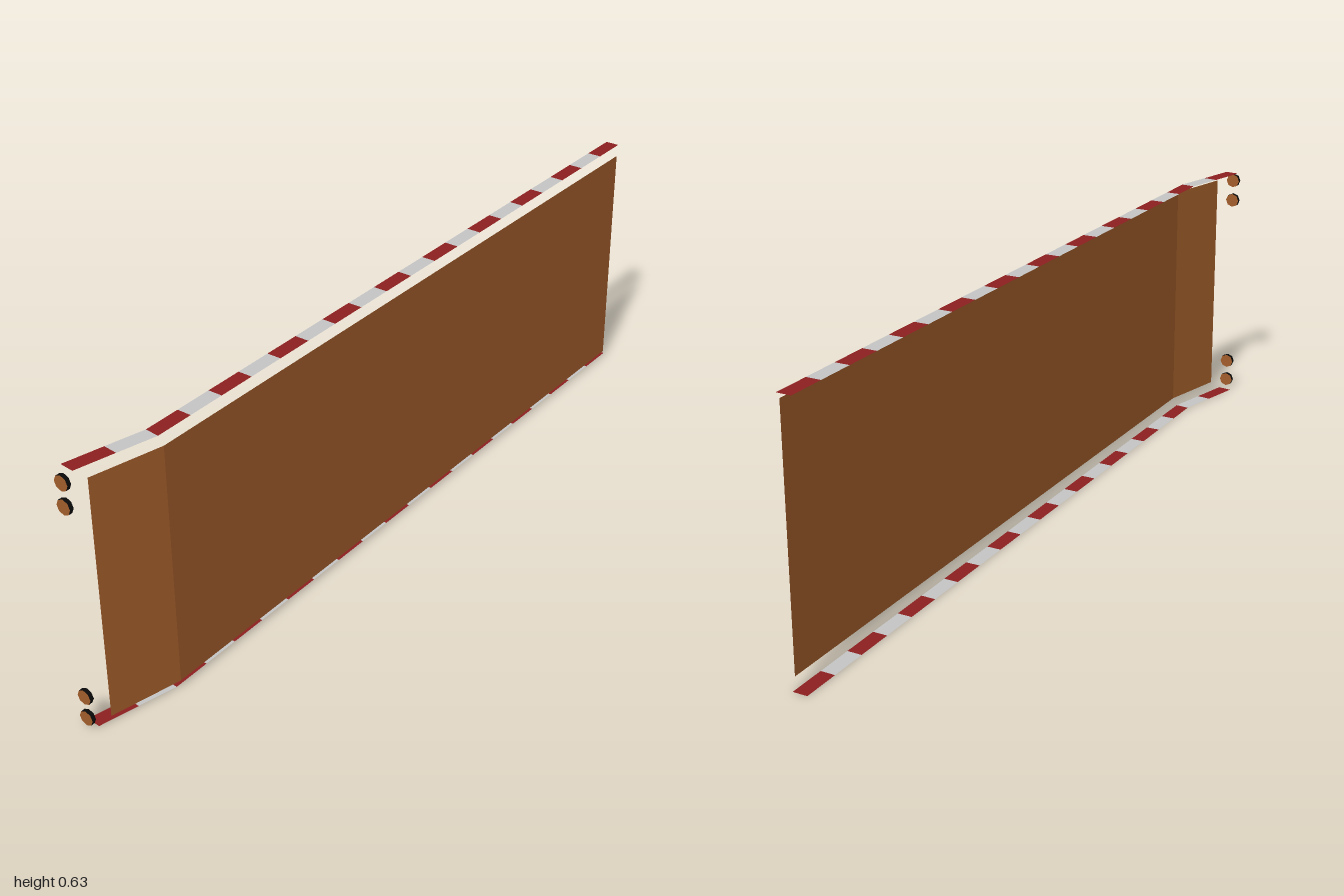
import * as THREE from 'three';

const material = (name, color, doubleSided = true) => {
  const m = new THREE.MeshStandardMaterial({ color });
  m.name = name;
  m.flatShading = true;
  if (doubleSided) m.side = THREE.DoubleSide;
  return m;
};

// Quad strip between two matching polylines
function ribbon(a, b) {
  const pos = [];
  for (let i = 0; i < a.length - 1; i++) {
    pos.push(...a[i], ...a[i + 1], ...b[i + 1], ...a[i], ...b[i + 1], ...b[i]);
  }
  const g = new THREE.BufferGeometry();
  g.setAttribute('position', new THREE.Float32BufferAttribute(pos, 3));
  g.computeVertexNormals();
  return g;
}

export function createModel() {
  const group = new THREE.Group();
  const brown = material('brown board', 0xa35e2b);
  const red = material('red stripe', 0x8e1f1f);
  const grey = material('light grey stripe', 0xc6c6c6);
  const black = material('black rim', 0x0a0a0a);

  const add = (name, geometry, mat, parent = group) => {
    const mesh = new THREE.Mesh(geometry, mat);
    mesh.name = name;
    parent.add(mesh);
    return mesh;
  };

  // Thin board with a bent end
  const plan = [[-0.96, 0.005], [-0.79, 0.045], [0.975, 0.045]];
  const line = (y) => plan.map(([x, z]) => [x, y, z]);
  add('board', ribbon(line(0.02), line(0.606)), brown);

  // Striped rails: two stripes on the bend, nineteen along the straight
  const bendX = -0.792, endX = 0.998, count = 19;
  const front = [[-0.982, -0.011], [-0.887, 0.012], [bendX - 0.002, 0.035]];
  const back = [[-0.978, -0.046], [-0.883, -0.023], [bendX + 0.002, 0]];
  for (let i = 1; i <= count; i++) {
    const x = bendX + (endX - bendX) * i / count;
    front.push([x, 0.035]);
    back.push([x, 0]);
  }
  for (const [name, y] of [['bottomRail', 0], ['topRail', 0.627]]) {
    const rail = new THREE.Group();
    rail.name = name;
    group.add(rail);
    const at = ([x, z]) => [x, y, z];
    for (let i = 0; i < front.length - 1; i++) {
      const isRed = i === 0 || (i >= 2 && i % 2 === 0);
      add(isRed ? 'redStripe' : 'greyStripe',
        ribbon([at(front[i]), at(front[i + 1])], [at(back[i]), at(back[i + 1])]),
        isRed ? red : grey, rail);
    }
  }

  // Eight-sided end discs, black rim with brown faces
  const disc = new THREE.CylinderGeometry(0.018, 0.018, 0.01, 8);
  disc.rotateZ(Math.PI / 2);
  for (const y of [0.025, 0.08, 0.547, 0.602]) {
    add('endDisc', disc, [black, brown, brown]).position.set(-0.995, y, -0.027);
  }

  return group;
}
